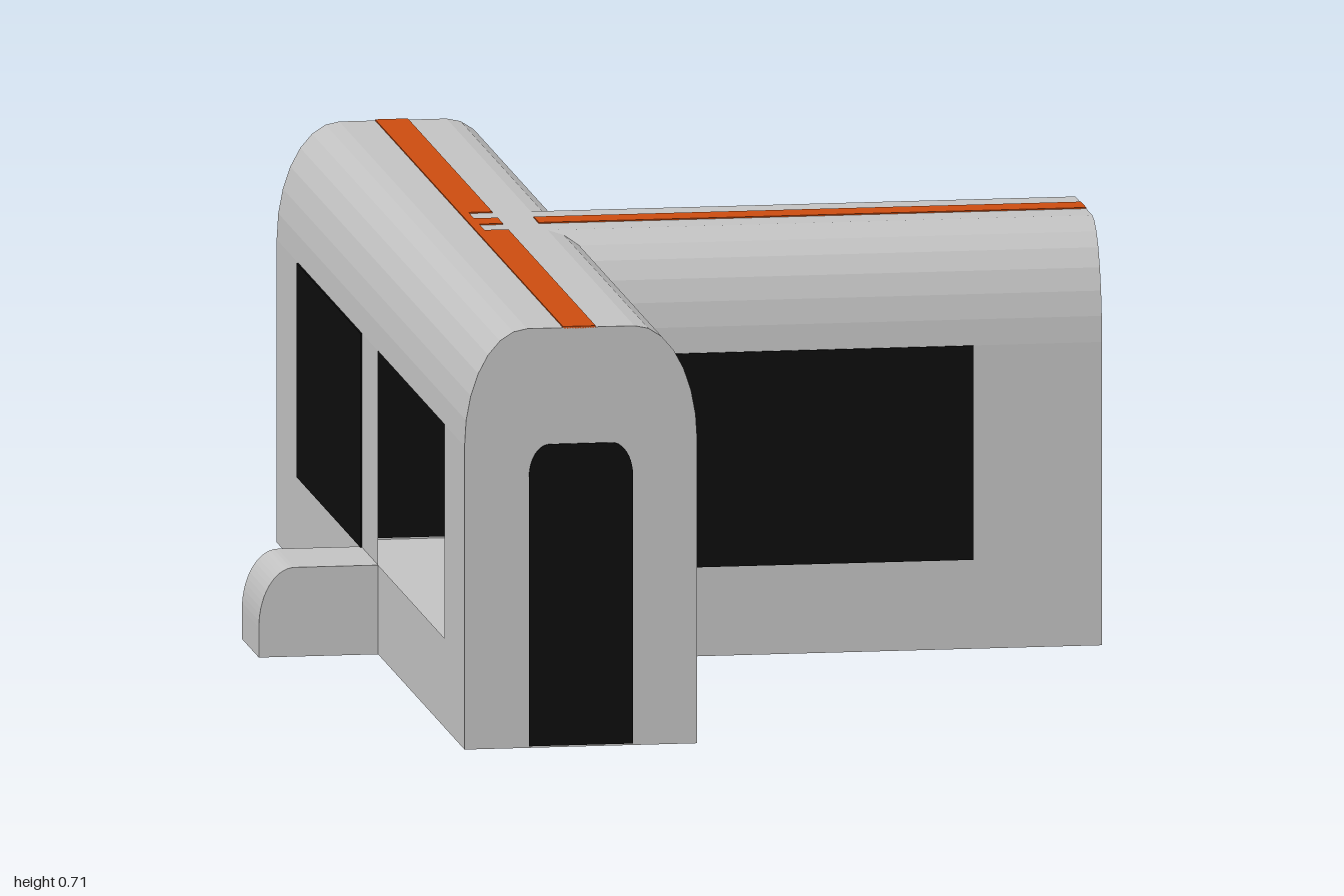
import * as THREE from 'three';

const HUB_X = -0.305, HUB_Z = -0.014;       // where the two corridors cross
const HALF = 0.195, FLAT = 0.09;            // corridor half width, flat roof half width
const SILL = 0.15, EAVE = 0.51, TOP = 0.705;
const BRANCH_END = 0.698;
const T = 0.006;                            // painted plate thickness

const shell = new THREE.MeshStandardMaterial({ color: 0xc2c2c2, side: THREE.DoubleSide });
shell.name = 'light grey shell';
const glass = new THREE.MeshStandardMaterial({ color: 0x0c0c0c });
glass.name = 'black glass';
const orange = new THREE.MeshStandardMaterial({ color: 0xcc4c10 });
orange.name = 'orange stripe';

// Right half of the vault, from the eave to the ridge centre
function vaultPoints() {
  const pts = [], n = 7;
  for (let i = 0; i <= n; i++) {
    const a = (i / n) * Math.PI / 2;
    pts.push([FLAT + (HALF - FLAT) * Math.cos(a), EAVE + (TOP - EAVE) * Math.sin(a)]);
  }
  pts.push([0, TOP]);
  return pts;
}
const roofRight = vaultPoints().reverse();
const roofLeft = vaultPoints().map(([u, y]) => [-u, y]);
const wallRight = [[HALF, EAVE], [HALF, 0]];
const wallLeft = [[-HALF, 0], [-HALF, EAVE]];
const rightSide = [...roofRight, wallRight[1]];
const fullProfile = [wallLeft[0], ...roofLeft, ...rightSide.slice(1)];

export function createModel() {
  const model = new THREE.Group();
  model.name = 'corridorModule';

  const add = (name, geometry, material, parent = model) => {
    const mesh = new THREE.Mesh(geometry, material);
    mesh.name = name;
    parent.add(mesh);
    return mesh;
  };

  // Sweeps a cross-section along z; both ends may depend on u to form mitres
  const sweep = (name, profile, start, end, parent) => {
    const pos = [];
    for (let i = 0; i < profile.length - 1; i++) {
      const [u0, y0] = profile[i], [u1, y1] = profile[i + 1];
      const a = [u0, y0, start(u0)], b = [u1, y1, start(u1)];
      const c = [u1, y1, end(u1)], d = [u0, y0, end(u0)];
      pos.push(...a, ...d, ...c, ...a, ...c, ...b);
    }
    const g = new THREE.BufferGeometry();
    g.setAttribute('position', new THREE.Float32BufferAttribute(pos, 3));
    g.computeVertexNormals();
    return add(name, g, shell, parent);
  };

  // Box given by its minimum and maximum corners
  const plate = (name, material, x0, x1, y0, y1, z0, z1) =>
    add(name, new THREE.BoxGeometry(x1 - x0, y1 - y0, z1 - z0), material)
      .position.set((x0 + x1) / 2, (y0 + y1) / 2, (z0 + z1) / 2);

  const endCap = new THREE.ShapeGeometry(
    new THREE.Shape(fullProfile.map(([u, y]) => new THREE.Vector2(u, y)).reverse()));

  // Main corridor, hollow, with an open bay in its outer wall
  const main = new THREE.Group();
  main.name = 'mainCorridor';
  main.position.set(HUB_X, 0, HUB_Z);
  model.add(main);
  const back = -1 - HUB_Z, front = 1 - HUB_Z;
  const at = (v) => () => v;
  sweep('outerRoof', roofLeft, at(back), at(front), main);
  sweep('outerSillWall', [[-HALF, 0], [-HALF, SILL]], at(back), at(front), main);
  const upperWall = [[-HALF, SILL], [-HALF, EAVE]];
  sweep('outerBackWall', upperWall, at(back), at(0.08 - HUB_Z), main);
  sweep('outerFrontWall', upperWall, at(0.785 - HUB_Z), at(front), main);
  sweep('innerBackSide', rightSide, at(back), (u) => -u, main);
  sweep('innerFrontSide', rightSide, (u) => u, at(front), main);
  add('frontEndWall', endCap, shell, main).position.z = front;
  const backCap = add('backEndWall', endCap, shell, main);
  backCap.position.z = back;
  backCap.rotation.y = Math.PI;

  // Side corridor, mitred into the main one
  const branch = new THREE.Group();
  branch.name = 'sideCorridor';
  branch.position.set(HUB_X, 0, HUB_Z);
  branch.rotation.y = Math.PI / 2;
  model.add(branch);
  sweep('sideShell', fullProfile, (u) => Math.abs(u), at(BRANCH_END - HUB_X), branch);
  add('sideEndWall', endCap, shell, branch).position.z = BRANCH_END - HUB_X;

  // T-shaped floor
  const floor = new THREE.Shape([
    [-HALF, back], [HALF, back], [HALF, -HALF], [BRANCH_END - HUB_X, -HALF],
    [BRANCH_END - HUB_X, HALF], [HALF, HALF], [HALF, front], [-HALF, front],
  ].map(([x, z]) => new THREE.Vector2(x, z)));
  const floorMesh = add('floor', new THREE.ShapeGeometry(floor), shell, main);
  floorMesh.rotation.x = Math.PI / 2;

  // Low step with a rounded nose on the outer wall
  const step = new THREE.Shape();
  step.moveTo(-0.5, 0);
  step.lineTo(-0.5, SILL);
  step.lineTo(-0.64, SILL);
  step.absellipse(-0.64, 0.05, 0.06, 0.10, Math.PI / 2, Math.PI, false);
  step.lineTo(-0.7, 0);
  add('step', new THREE.ExtrudeGeometry(step, { depth: 0.18, bevelEnabled: false, curveSegments: 7 }), shell)
    .position.z = -0.10;

  // Doors at both ends of the main corridor
  const w = 0.087, r = 0.035, rh = 0.055;
  const door = new THREE.Shape();
  door.moveTo(-w, 0.003);
  door.lineTo(w, 0.003);
  door.lineTo(w, EAVE - rh);
  door.absellipse(w - r, EAVE - rh, r, rh, 0, Math.PI / 2, false);
  door.absellipse(r - w, EAVE - rh, r, rh, Math.PI / 2, Math.PI, false);
  const doorGeo = new THREE.ExtrudeGeometry(door, { depth: T, bevelEnabled: false, curveSegments: 5 });
  for (const [name, z] of [['frontDoor', 1], ['backDoor', -1]])
    add(name, doorGeo, glass).position.set(HUB_X, 0, z - T / 2);

  // Windows, visible from both sides of the thin walls
  const inX = HUB_X + HALF, outX = HUB_X - HALF, h = T / 2;
  plate('innerFrontWindow', glass, inX - h, inX + h, SILL, EAVE, HUB_Z + HALF, 0.785);
  plate('innerBackWindow', glass, inX - h, inX + h, SILL, EAVE, -0.77, HUB_Z - HALF);
  plate('outerBackWindow', glass, outX - h, outX + h, SILL, EAVE, -0.77, -0.09);
  for (const s of [1, -1]) {
    const z = HUB_Z + s * HALF;
    plate(s > 0 ? 'sideFrontWindow' : 'sideBackWindow', glass, inX, 0.482, SILL, EAVE, z - h, z + h);
  }

  // Roof stripes, notched where they meet
  const y0 = TOP - 0.002, y1 = TOP + 0.002;
  plate('mainStripeBack', orange, -0.335, -0.28, y0, y1, -1, -0.10);
  plate('mainStripeFront', orange, -0.335, -0.28, y0, y1, 0.07, 1);
  plate('mainStripeNeck', orange, -0.335, -0.32, y0, y1, -0.10, 0.07);
  plate('mainStripeTab', orange, -0.32, -0.28, y0, y1, -0.043, 0.013);
  plate('sideStripe', orange, -0.22, BRANCH_END, y0, y1, -0.043, 0.013);

  return model;
}
